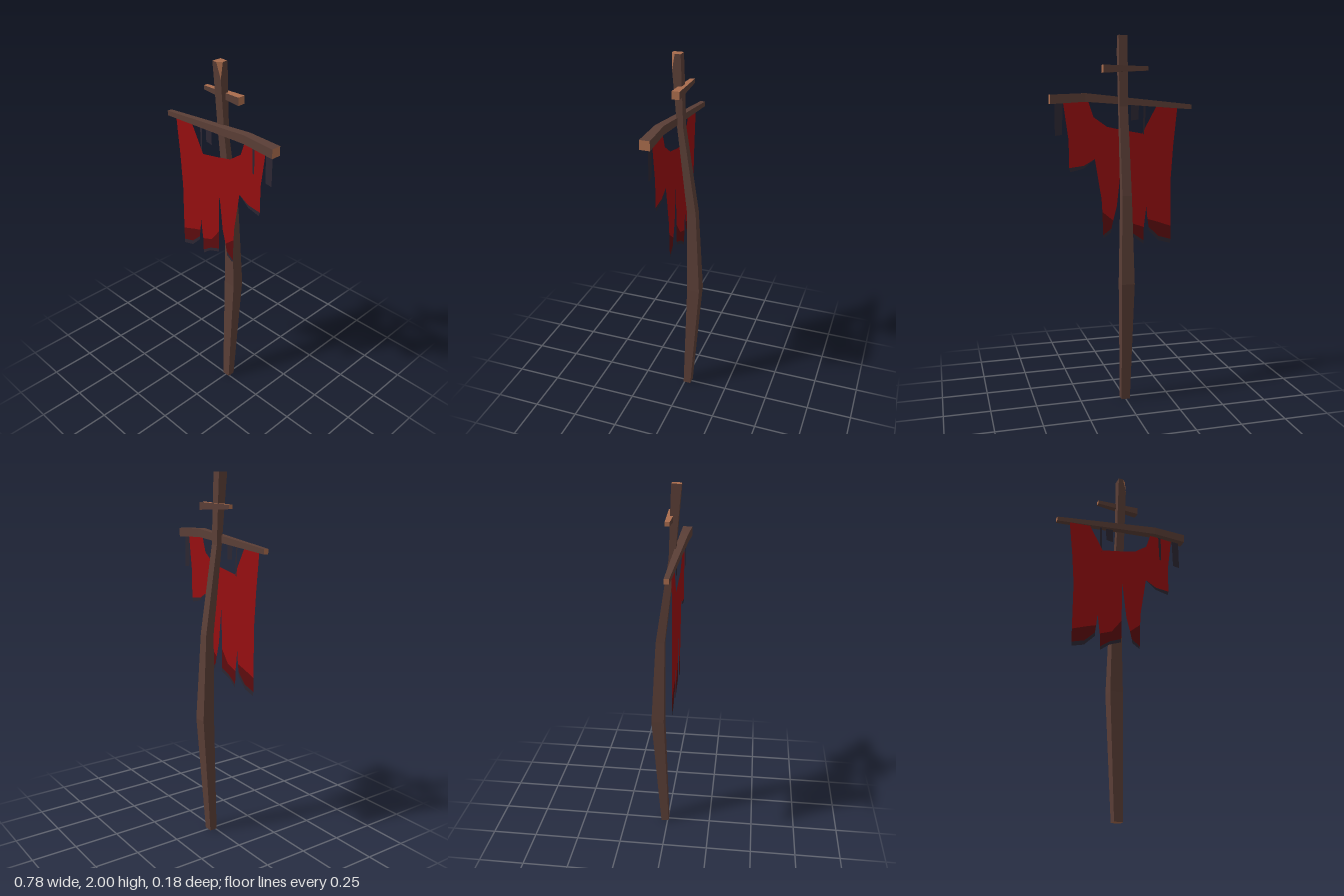
import * as THREE from 'three';

const material = (name, color, extra = {}) => {
  const m = new THREE.MeshStandardMaterial({ color, ...extra });
  m.name = name;
  return m;
};

// Flat-faced loft through rings listed counter-clockwise as seen from the far end.
// Material group 0: sides, group 1: both ends and the listed cut sides.
function loft(rings, cutSides = []) {
  const sides = [], cut = [];
  const tri = (out, a, b, c) => {
    const area = new THREE.Vector3().crossVectors(b.clone().sub(a), c.clone().sub(a)).length();
    if (area > 1e-8) out.push(...a.toArray(), ...b.toArray(), ...c.toArray());
  };
  const n = rings[0].length;
  for (let k = 0; k < rings.length - 1; k++) {
    const a = rings[k], b = rings[k + 1];
    for (let i = 0; i < n; i++) {
      const j = (i + 1) % n, out = cutSides.includes(i) ? cut : sides;
      tri(out, a[i], a[j], b[j]);
      tri(out, a[i], b[j], b[i]);
    }
  }
  const first = rings[0], last = rings[rings.length - 1];
  for (let i = 1; i < n - 1; i++) {
    tri(cut, first[0], first[i + 1], first[i]);
    tri(cut, last[0], last[i], last[i + 1]);
  }
  const g = new THREE.BufferGeometry();
  g.setAttribute('position', new THREE.Float32BufferAttribute([...sides, ...cut], 3));
  g.addGroup(0, sides.length / 3, 0);
  g.addGroup(sides.length / 3, cut.length / 3, 1);
  g.computeVertexNormals();
  return g;
}

const v = (x, y, z) => new THREE.Vector3(x, y, z);

// Upright section; the front-left corner can be chipped off
const poleRing = ([y, w, z0, z1, chip = 0]) => [
  v(w - chip, y, z1), v(w, y, z1 - chip), v(w, y, z0), v(-w, y, z0), v(-w, y, z1),
];
// Section of a horizontal beam
const beamRing = ([x, y0, y1, z0, z1]) => [
  v(x, y0, z1), v(x, y0, z0), v(x, y1, z0), v(x, y1, z1),
];

export function createModel() {
  const group = new THREE.Group();
  group.name = 'bannerPole';

  const wood = material('dark wood', 0x5a3e36);
  const cutWood = material('cut wood', 0xa86b4c);
  const red = material('red cloth', 0x960e10, { side: THREE.DoubleSide });
  const darkRed = material('stained cloth', 0x5c0c0e, { side: THREE.DoubleSide });
  const charred = material('charred cloth', 0x2c2732, { side: THREE.DoubleSide });

  const add = (name, geometry, mat, z = 0) => {
    const mesh = new THREE.Mesh(geometry, mat);
    mesh.name = name;
    mesh.position.z = z;
    group.add(mesh);
  };
  const cloth = (name, points, mat, z = 0.055) =>
    add(name, new THREE.ShapeGeometry(new THREE.Shape(points.map(([x, y]) => new THREE.Vector2(x, y)))), mat, z);

  // Crooked pole: y, half width, back z, front z, chip
  add('pole', loft([
    [0, 0.024, -0.037, 0.006],
    [0.68, 0.036, -0.09, -0.02],
    [1.16, 0.026, -0.064, -0.016],
    [1.63, 0.023, 0.006, 0.038],
    [1.92, 0.024, 0.015, 0.062],
    [2, 0.024, 0.018, 0.07, 0.022],
  ].map(poleRing), [0]), [wood, cutWood]);

  // Beams: x, bottom y, top y, back z, front z
  add('crossbar', loft([
    [-0.39, 1.614, 1.64, 0.026, 0.052],
    [0.2, 1.655, 1.7, 0.041, 0.085],
    [0.388, 1.643, 1.692, 0.037, 0.09],
  ].map(beamRing)), [wood, cutWood]);
  add('upperCrosspiece', loft([
    [-0.135, 1.818, 1.84, 0, 0.024],
    [0.113, 1.805, 1.846, -0.009, 0.033],
  ].map(beamRing), [2]), [wood, cutWood]);

  // Torn banner
  cloth('banner', [
    [-0.318, 1.625], [-0.2, 1.635], [-0.117, 1.484], [0, 1.505], [0.08, 1.522], [0.154, 1.574],
    [0.185, 1.665], [0.318, 1.655], [0.29, 1.45], [0.29, 1.305], [0.21, 1.315], [0.148, 1.35],
    [0.112, 1.13], [0.108, 1.06], [0.047, 1.01], [0.026, 1.09], [0.002, 1.3],
    [-0.003, 1.065], [-0.06, 0.99], [-0.129, 0.965], [-0.143, 1.08],
    [-0.15, 1.01], [-0.2, 0.995], [-0.286, 0.965], [-0.284, 1.235], [-0.297, 1.42],
  ], red);

  // Stained hems and charred tips of the strips
  const hems = [
    [[-0.286, 0.965], [-0.286, 0.89], [-0.215, 0.91], [-0.157, 0.965], [-0.15, 1.01], [-0.2, 0.995]],
    [[-0.129, 0.965], [-0.127, 0.89], [-0.07, 0.93], [-0.005, 0.955], [-0.003, 1.065], [-0.06, 0.99]],
    [[0.047, 1.01], [0.057, 0.965], [0.104, 0.93], [0.108, 1.06]],
  ];
  const tips = [
    [[-0.286, 0.89], [-0.286, 0.866], [-0.217, 0.885], [-0.157, 0.945], [-0.157, 0.965], [-0.215, 0.91]],
    [[-0.127, 0.89], [-0.127, 0.87], [-0.075, 0.91], [-0.005, 0.935], [-0.005, 0.955], [-0.07, 0.93]],
    [[0.057, 0.965], [0.06, 0.942], [0.101, 0.915], [0.104, 0.93]],
    [[0.148, 1.35], [0.21, 1.3], [0.283, 1.283], [0.29, 1.305], [0.21, 1.315]],
  ];
  hems.forEach((p) => cloth('stainedHem', p, darkRed));
  tips.forEach((p) => cloth('charredTip', p, charred));

  // Hanging straps: left x, right x, bottom y, top y, z
  [
    [-0.136, -0.123, 1.47, 1.635, 0.055],
    [-0.098, -0.054, 1.555, 1.64, 0.052],
    [0.232, 0.248, 1.5, 1.66, 0.058],
    [0.32, 0.363, 1.477, 1.655, 0.058],
  ].forEach(([x0, x1, y0, y1, z]) =>
    cloth('strap', [[x0, y1], [x0 + 0.004, y0 + 0.005], [x1, y0], [x1, y1]], charred, z));

  return group;
}
